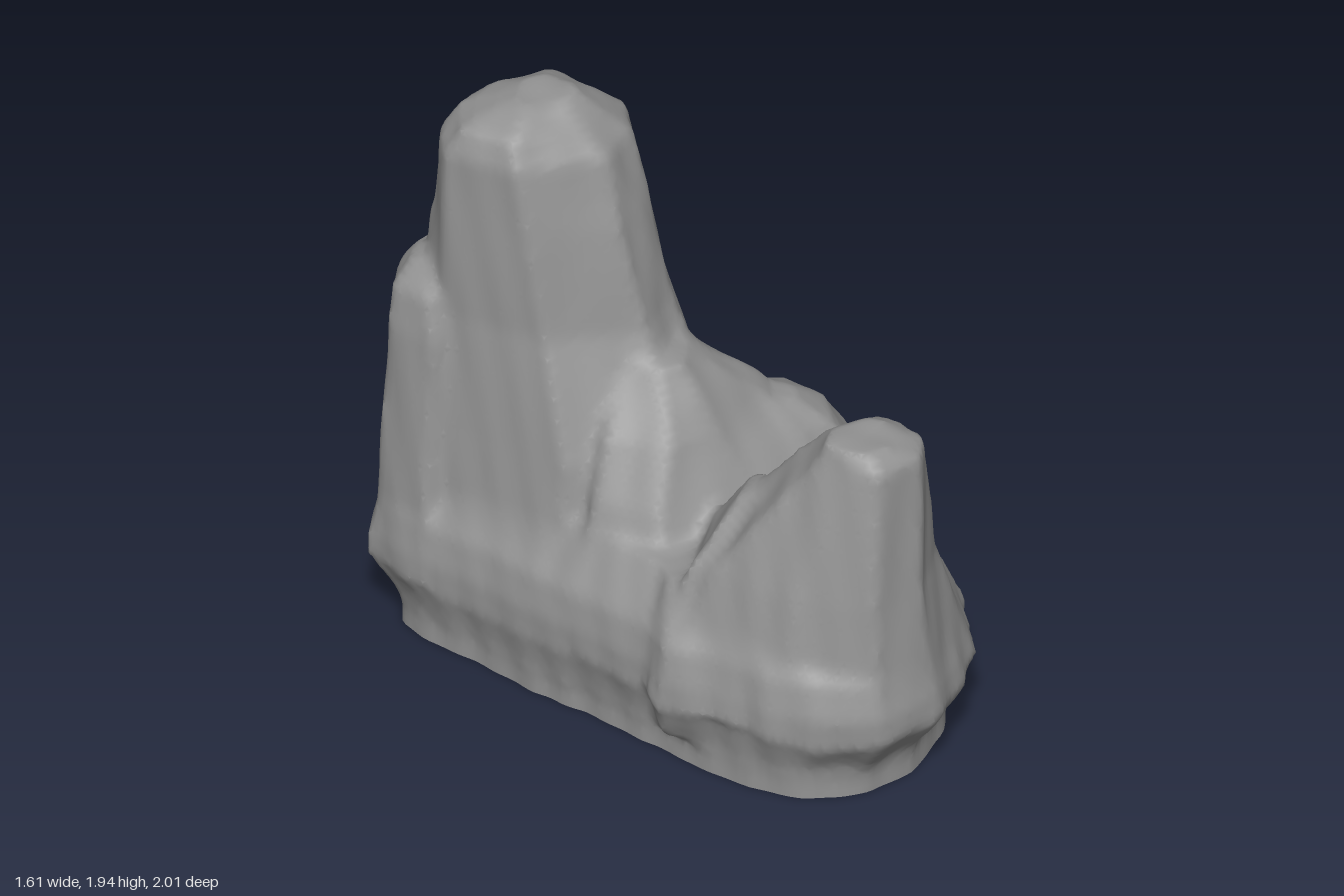
import * as THREE from 'three';

// Footprint of the rock above its foot, and of the narrower foot, as [x, z] corners
const outline = [[-.8, -.68], [-.6, -.95], [-.47, -1], [-.1, -.9], [.15, -.78], [.35, -.68], [.6, -.45], [.75, -.2],
  [.8, .1], [.8, .35], [.72, .55], [.6, .78], [.4, .95], [.2, 1], [0, .92], [-.12, .8], [-.2, .65], [-.35, .5],
  [-.33, .38], [-.42, .2], [-.52, 0], [-.62, -.25], [-.75, -.5]];
const foot = [[-.72, -.62], [-.6, -.83], [-.43, -.9], [-.1, -.82], [.15, -.7], [.35, -.6], [.54, -.42], [.67, -.18],
  [.72, .08], [.72, .32], [.66, .52], [.55, .7], [.38, .85], [.2, .9], [0, .85], [-.13, .72], [-.22, .56], [-.3, .36],
  [-.4, .14], [-.5, -.05], [-.6, -.28], [-.7, -.5]];
const scaled = (s, right = s) => outline.map(([x, z]) => [x * (x > 0 ? right : s), z * s]);

// Each mass is a stack of [height, cross-section]
const plinth = [[-.2, foot], [.3, foot]];
const body = [[.1, scaled(.9)], [.16, scaled(.95)], [.22, scaled(.995)], [.33, scaled(1, .93)],
  [.45, scaled(.95, .86)], [.62, scaled(.7, .76)]];
const tallStack = [
  [.23, [[-.7, -.5], [-.68, -.8], [-.35, -.93], [.15, -.78], [.5, -.55], [.4, -.1], [0, .15], [-.48, -.02]]],
  [.8, [[-.63, -.5], [-.64, -.76], [-.35, -.86], [.1, -.79], [.27, -.55], [.2, -.2], [-.02, .02], [-.4, -.1]]],
  [1.2, [[-.62, -.55], [-.61, -.74], [-.35, -.8], [.04, -.78], [.16, -.55], [.08, -.3], [-.08, -.17], [-.4, -.25]]],
  [1.56, [[-.61, -.56], [-.55, -.74], [-.35, -.78], [.0, -.77], [.09, -.57], [.04, -.38], [-.13, -.25], [-.42, -.32]]],
  [1.78, [[-.6, -.57], [-.53, -.73], [-.35, -.77], [-.06, -.76], [.06, -.58], [0, -.44], [-.15, -.32], [-.44, -.36]]],
  [1.87, [[-.54, -.56], [-.46, -.71], [-.34, -.76], [-.14, -.75], [-.06, -.58], [-.09, -.47], [-.18, -.41], [-.43, -.41]]],
  [1.935, [[-.35, -.56], [-.32, -.6], [-.28, -.64], [-.2, -.63], [-.15, -.56], [-.16, -.51], [-.22, -.48], [-.34, -.49]]]];
const backShoulder = [
  [.25, [[-.8, -.68], [-.62, -.93], [-.47, -1], [-.05, -.88], [-.2, -.5], [-.73, -.45]]],
  [1.1, [[-.74, -.68], [-.62, -.86], [-.48, -.91], [-.2, -.8], [-.3, -.6], [-.66, -.52]]],
  [1.24, [[-.72, -.69], [-.61, -.83], [-.48, -.88], [-.25, -.78], [-.35, -.6], [-.65, -.56]]],
  [1.33, [[-.66, -.7], [-.58, -.78], [-.5, -.82], [-.3, -.75], [-.35, -.65], [-.6, -.63]]]];
const frontPeak = [
  [.25, [[-.35, .48], [-.1, .82], [.2, 1], [.42, .94], [.68, .68], [.77, .35], [.6, .1], [-.2, .1]]],
  [.7, [[-.17, .5], [0, .78], [.2, .93], [.4, .88], [.54, .68], [.6, .42], [.5, .33], [0, .2]]],
  [1.16, [[.13, .68], [.17, .77], [.25, .86], [.42, .82], [.48, .7], [.46, .6], [.4, .53], [.2, .54]]],
  [1.215, [[.15, .68], [.17, .74], [.25, .8], [.32, .78], [.38, .7], [.38, .65], [.32, .6], [.22, .6]]]];
const sideKnob = [
  [.23, [[.5, -.55], [.7, -.35], [.78, -.05], [.8, .25], [.3, .3], [.2, -.4]]],
  [.65, [[.42, -.45], [.56, -.37], [.63, -.17], [.59, .06], [.35, .09], [.25, -.3]]],
  [.78, [[.38, -.34], [.48, -.3], [.55, -.16], [.5, -.01], [.35, .01], [.26, -.2]]],
  [.86, [[.34, -.18], [.4, -.18], [.43, -.13], [.4, -.08], [.32, -.07], [.28, -.13]]]];
const saddleLedge = [
  [.25, [[-.45, .12], [-.28, .4], [.3, .4], [.66, .2], [.64, -.2], [.48, -.5], [-.2, -.6]]],
  [.72, [[-.35, 0], [-.18, .16], [.15, .14], [.42, .06], [.48, -.2], [.36, -.45], [-.1, -.5]]],
  [.9, [[-.28, -.06], [-.1, .07], [.08, .05], [.3, -.1], [.34, -.2], [.26, -.38], [-.1, -.4]]],
  [1.1, [[-.14, -.16], [-.07, -.08], [.01, -.08], [.06, -.15], [.09, -.22], [.07, -.32], [-.1, -.3]]]];
const lowRidge = [
  [.25, [[-.37, .44], [0, .8], [.4, .5], [-.1, .1]]],
  [.7, [[-.2, .42], [.03, .65], [.3, .48], [.02, .18]]],
  [.89, [[-.01, .38], [.06, .55], [.24, .47], [.1, .28]]]];
const masses = [plinth, body, tallStack, backShoulder, frontPeak, sideKnob, saddleLedge, lowRidge];

// Signed distance from (x, z) to a polygon
function polygonDistance(poly, x, z) {
  let best = Infinity, inside = false;
  for (let i = 0, j = poly.length - 1; i < poly.length; j = i++) {
    const [ax, az] = poly[i], [bx, bz] = poly[j];
    const ex = bx - ax, ez = bz - az, px = x - ax, pz = z - az;
    const t = Math.min(1, Math.max(0, (px * ex + pz * ez) / (ex * ex + ez * ez)));
    best = Math.min(best, (px - ex * t) ** 2 + (pz - ez * t) ** 2);
    if ((az > z) !== (bz > z) && x < ax + ex * (z - az) / ez) inside = !inside;
  }
  return (inside ? -1 : 1) * Math.sqrt(best);
}

// Cross-section of a mass at height y
function sectionAt(levels, y) {
  let i = 0;
  while (i < levels.length - 2 && y > levels[i + 1][0]) i++;
  const [y0, a] = levels[i], [y1, b] = levels[i + 1];
  const t = Math.min(1, Math.max(0, (y - y0) / (y1 - y0)));
  return a.map(([x, z], n) => [x + (b[n][0] - x) * t, z + (b[n][1] - z) * t]);
}

// Weathering: vertical ribs that drift with height, and small lumps
function weathering(x, y, z) {
  return .005 * Math.sin(17 * x + 2 * y + 3 * Math.sin(9 * z)) * Math.sin(15 * z - 2 * y)
    + .004 * Math.sin(31 * x + 5 * z) * Math.sin(27 * z + 11 * y);
}

function smoothMin(a, b, k) {
  const h = Math.max(0, k - Math.abs(a - b)) / k;
  return Math.min(a, b) - h * h * k / 4;
}

// Skin the blended masses: one vertex per crossed grid cell, one quad per crossed grid edge.
// The lowest cells are centred on y = 0, which leaves the shell open underneath.
function createRockGeometry() {
  const step = .024, min = [-.9, -step / 2, -1.09], size = [76, 84, 92];
  const stride = [1, size[0], size[0] * size[1]];
  const field = new Float32Array(size[0] * size[1] * size[2]);
  for (let j = 0; j < size[1]; j++) {
    const y = min[1] + j * step;
    const sections = masses.map(m => sectionAt(m, y));
    for (let k = 0; k < size[2]; k++) for (let i = 0; i < size[0]; i++) {
      const x = min[0] + i * step, z = min[2] + k * step;
      let d = 1;
      masses.forEach((m, n) => {
        const low = m[0][0] - y, high = y - m[m.length - 1][0];
        d = smoothMin(d, Math.max(polygonDistance(sections[n], x, z), low, high), .04);
      });
      field[i + j * stride[1] + k * stride[2]] = d + weathering(x, y, z);
    }
  }
  const positions = [], indices = [], cellVertex = new Int32Array(field.length).fill(-1);
  const corner = c => (c & 1) * stride[0] + (c >> 1 & 1) * stride[1] + (c >> 2) * stride[2];
  for (let k = 0; k < size[2] - 1; k++) for (let j = 0; j < size[1] - 1; j++) for (let i = 0; i < size[0] - 1; i++) {
    const at = i + j * stride[1] + k * stride[2], sum = [0, 0, 0];
    let count = 0;
    for (let c = 0; c < 8; c++) for (let a = 0; a < 3; a++) {
      if (c >> a & 1) continue;
      const f0 = field[at + corner(c)], f1 = field[at + corner(c | 1 << a)];
      if ((f0 < 0) === (f1 < 0)) continue;
      for (let n = 0; n < 3; n++) sum[n] += n === a ? f0 / (f0 - f1) : c >> n & 1;
      count++;
    }
    if (!count) continue;
    cellVertex[at] = positions.length / 3;
    if (j === 0) sum[1] = count / 2;
    [i, j, k].forEach((g, n) => positions.push(min[n] + (g + sum[n] / count) * step));
  }
  for (let k = 1; k < size[2] - 1; k++) for (let j = 1; j < size[1] - 1; j++) for (let i = 1; i < size[0] - 1; i++) {
    const at = i + j * stride[1] + k * stride[2];
    for (let a = 0; a < 3; a++) {
      const inside = field[at] < 0;
      if (inside === field[at + stride[a]] < 0) continue;
      const b = stride[(a + 1) % 3], c = stride[(a + 2) % 3];
      const q = [at - b - c, at - c, at, at - b].map(n => cellVertex[n]);
      if (!inside) q.reverse();
      indices.push(q[0], q[1], q[2], q[0], q[2], q[3]);
    }
  }
  const geometry = new THREE.BufferGeometry();
  geometry.setAttribute('position', new THREE.Float32BufferAttribute(positions, 3));
  geometry.setIndex(indices);
  geometry.computeVertexNormals();
  return geometry;
}

export function createModel() {
  const group = new THREE.Group();
  group.name = 'rockFormation';
  const stone = new THREE.MeshStandardMaterial({ color: 0x929292, side: THREE.DoubleSide });
  const rock = new THREE.Mesh(createRockGeometry(), stone);
  rock.name = 'rock';
  group.add(rock);
  return group;
}
